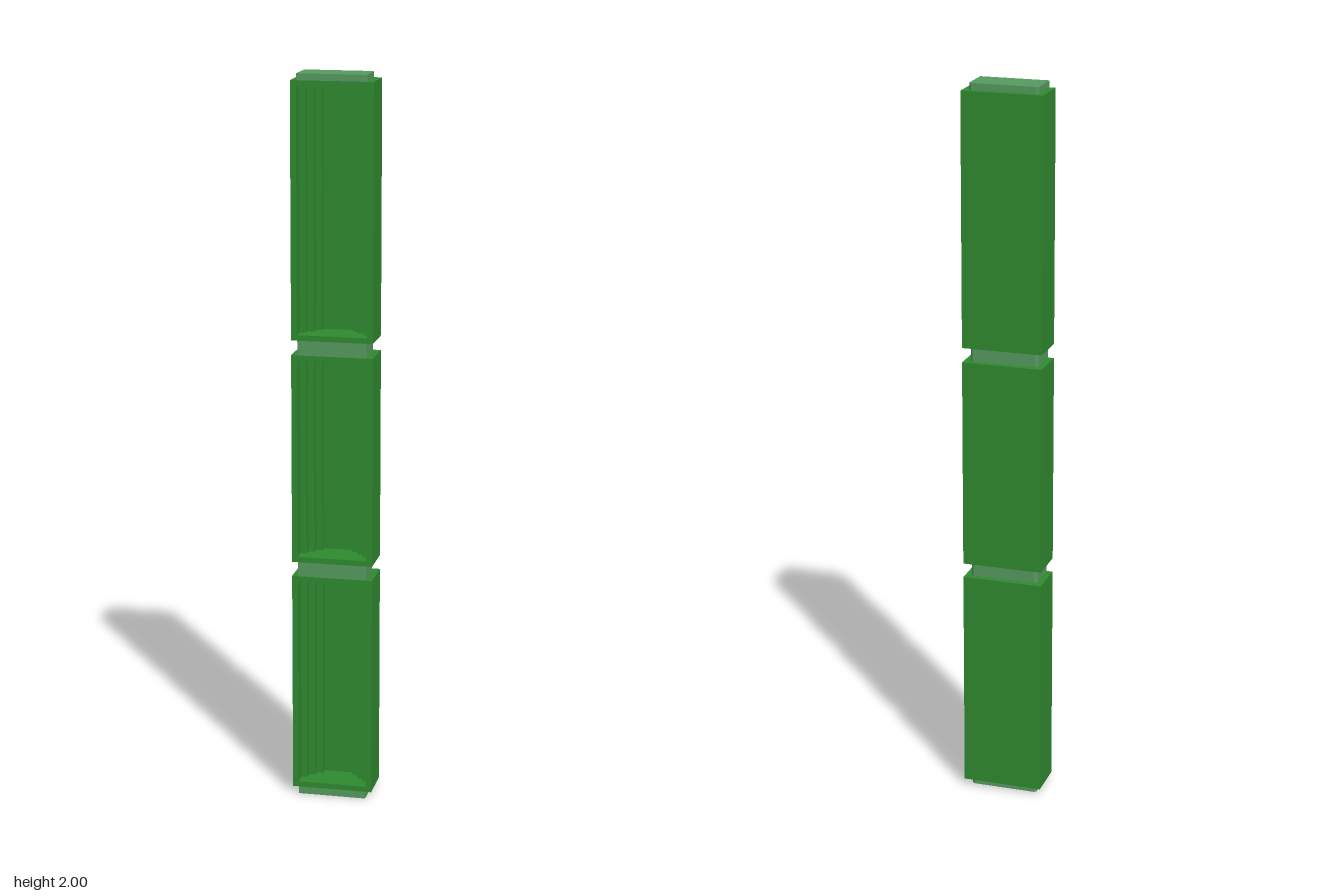
import * as THREE from 'three';

const green = new THREE.MeshStandardMaterial({ color: 0x2f8a2f });
green.name = 'leaf green';
const pale = new THREE.MeshStandardMaterial({ color: 0x569a5f });
pale.name = 'pale green';

const HALF_W = 0.111, FRONT = 0.056, BACK = -0.056, LIP = 0.015;

// Extrudes an [x, z] outline upward from y0 to y1
function prism(name, outline, y0, y1, material) {
  const shape = new THREE.Shape(outline.map(([x, z]) => new THREE.Vector2(x, -z)));
  const geo = new THREE.ExtrudeGeometry(shape, { depth: y1 - y0, bevelEnabled: false });
  geo.rotateX(-Math.PI / 2);
  const mesh = new THREE.Mesh(geo, material);
  mesh.name = name;
  mesh.position.y = y0;
  return mesh;
}

// Completes the right half of an outline with its mirror image
const mirrored = (half) => [...half, ...half.map(([x, z]) => [-x, z]).reverse()];

// Hollow shell whose niche narrows toward the back in square steps
const niche = [
  [0.042, -0.038], [0.042, -0.02], [0.06, -0.02], [0.06, 0],
  [0.078, 0], [0.078, 0.02], [0.095, 0.02], [0.095, FRONT],
];
const shellOutline = mirrored([...niche, [HALF_W, FRONT], [HALF_W, BACK]]);
const slabOutline = mirrored([[HALF_W, FRONT], [HALF_W, BACK]]);

// Narrow joint block with slightly clipped back corners
const jointOutline = mirrored([[0.094, FRONT], [0.094, -0.032], [0.088, -0.038]]);

function createSegment(y0, y1) {
  const segment = new THREE.Group();
  segment.name = 'columnSegment';
  segment.add(
    prism('segmentFloor', slabOutline, y0, y0 + LIP, green),
    prism('steppedShell', shellOutline, y0 + LIP, y1 - LIP, green),
    prism('segmentCeiling', slabOutline, y1 - LIP, y1, green),
  );
  return segment;
}

export function createModel() {
  const model = new THREE.Group();
  model.name = 'segmentedColumn';

  // Three hollow segments, stacked
  for (const [y0, y1] of [[0.02, 0.635], [0.675, 1.252], [1.292, 1.982]]) {
    model.add(createSegment(y0, y1));
  }

  // Joints below, between and above the segments
  for (const [y0, y1] of [[0, 0.02], [0.635, 0.675], [1.252, 1.292], [1.982, 2]]) {
    model.add(prism('jointBlock', jointOutline, y0, y1, pale));
  }
  return model;
}
